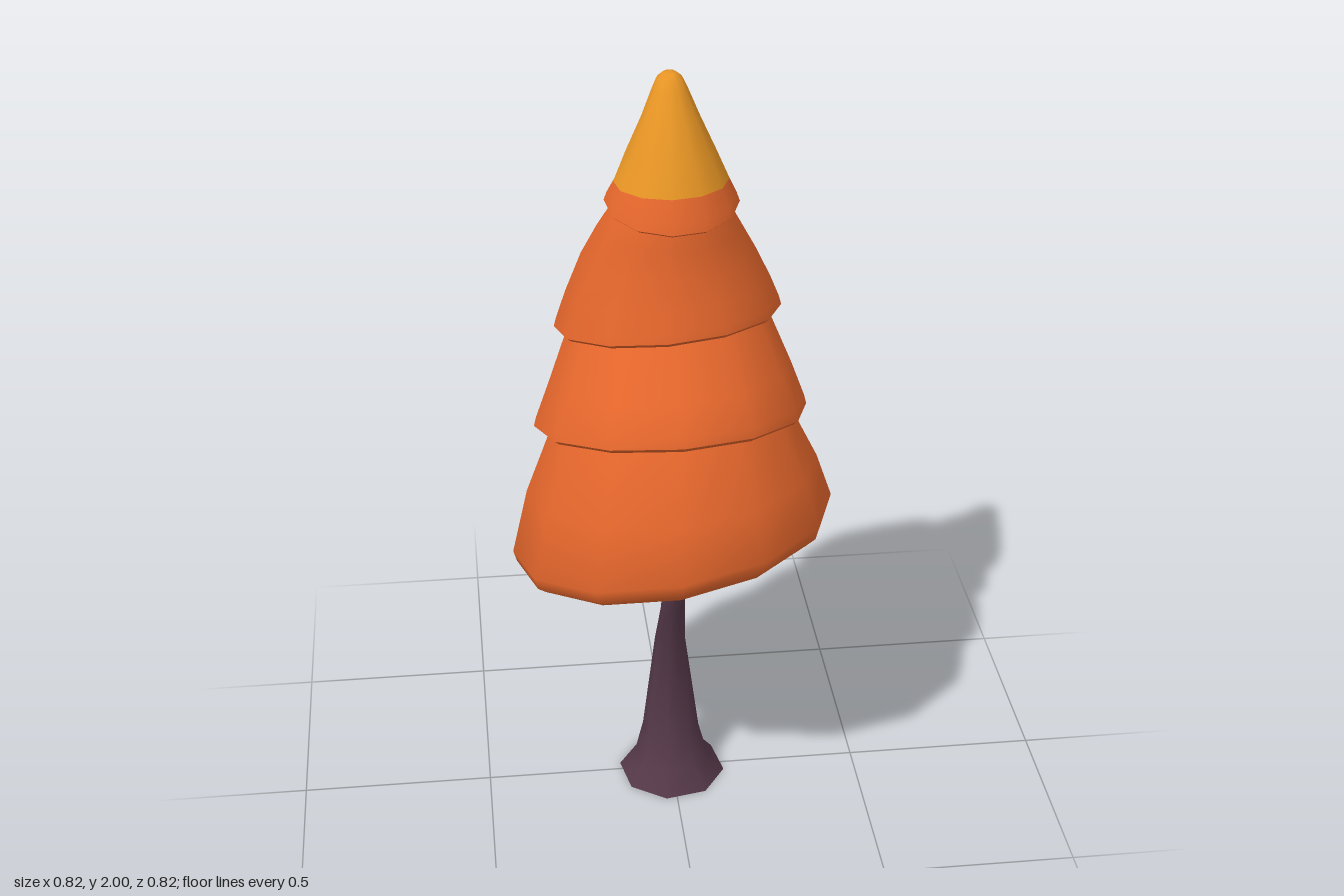
import * as THREE from 'three';
import { toCreasedNormals } from 'three/addons/utils/BufferGeometryUtils.js';

// Loft through rings [y, z, radius, slope along z, slope along x, x], bottom to top, capped on top.
// Faces above ring `split` go to a second material group.
function loft(rings, sides, { phase = 0, split = -1, capBottom = true } = {}) {
  const pos = [], index = [];
  for (const [y, z, r, az = 0, ax = 0, x = 0] of rings) {
    for (let j = 0; j < sides; j++) {
      const t = phase + (j / sides) * Math.PI * 2;
      const dx = r * Math.cos(t), dz = r * Math.sin(t);
      pos.push(x + dx, y + az * dz + ax * dx, z + dz);
    }
  }
  const n = rings.length, first = rings[0], last = rings[n - 1];
  const bottom = n * sides, top = bottom + 1;
  pos.push(first[5] || 0, first[0], first[1], last[5] || 0, last[0], last[1]);
  if (capBottom) for (let j = 0; j < sides; j++) index.push(bottom, j, (j + 1) % sides);
  let cut = 0;
  for (let i = 0; i < n - 1; i++) {
    if (i === split) cut = index.length;
    for (let j = 0; j < sides; j++) {
      const k = (j + 1) % sides, a = i * sides, b = a + sides;
      index.push(a + j, b + j, a + k, a + k, b + j, b + k);
    }
  }
  const c = (n - 1) * sides;
  for (let j = 0; j < sides; j++) index.push(top, c + ((j + 1) % sides), c + j);
  const geo = new THREE.BufferGeometry();
  geo.setAttribute('position', new THREE.Float32BufferAttribute(pos, 3));
  geo.setIndex(index);
  if (split >= 0) {
    geo.addGroup(0, cut, 0);
    geo.addGroup(cut, index.length - cut, 1);
  }
  return toCreasedNormals(geo, 0.95);
}

function material(name, color, side = THREE.FrontSide) {
  const m = new THREE.MeshStandardMaterial({ color, side });
  m.name = name;
  return m;
}

export function createModel() {
  const model = new THREE.Group();
  model.name = 'autumnTree';
  const orange = material('orange foliage', 0xe4662c);
  const gold = material('golden tip', 0xe69424);
  const bark = material('purple bark', 0x533747, THREE.DoubleSide);
  const add = (name, geo, mat, parent = model) => {
    const mesh = new THREE.Mesh(geo, mat);
    mesh.name = name;
    parent.add(mesh);
  };

  // Trunk: open flared foot, straight shaft, then a lean towards the front
  add('trunk', loft([
    [0, 0.003, 0.143],
    [0.05, -0.005, 0.099],
    [0.13, -0.022, 0.076],
    [0.4, -0.038, 0.041, 0.1],
    [0.55, 0.034, 0.032, 0.3],
    [0.64, 0.05, 0.027, 0.2],
    [0.72, 0.038, 0.026],
    [0.83, 0.028, 0.026],
  ], 8, { phase: 0.2, capBottom: false }), bark);

  // Branches: each a tapered path of [x, y, z, radius]
  const branches = new THREE.Group();
  branches.name = 'branches';
  model.add(branches);
  [
    [[0, 0.61, 0.05, 0.014], [-0.035, 0.67, 0.1, 0.014], [-0.07, 0.73, 0.15, 0.012], [-0.092, 0.8, 0.187, 0.007]],
    [[-0.04, 0.68, 0.11, 0.01], [-0.05, 0.74, 0.125, 0.009], [-0.055, 0.8, 0.15, 0.006]],
    [[0, 0.62, 0.045, 0.014], [0.04, 0.67, -0.005, 0.014], [0.085, 0.73, -0.06, 0.012], [0.112, 0.81, -0.092, 0.007]],
    [[0.03, 0.66, 0.005, 0.01], [0.055, 0.72, -0.03, 0.009], [0.06, 0.79, -0.055, 0.006]],
    [[0, 0.63, 0.045, 0.011], [-0.03, 0.69, 0.0, 0.01], [-0.06, 0.78, -0.03, 0.006]],
  ].forEach((path, i) => {
    const rings = path.map(([x, y, z, r]) => [y, z, r, 0, 0, x]);
    add('branch' + (i + 1), loft(rings, 6), bark, branches);
  });

  // Lower tier: hollowed underside, crisp rim, widest ring, then tapering up
  add('lowerFoliage', loft([
    [0.8, 0, 0.2, 0.18, 0.165],
    [0.765, 0, 0.34, 0.18, 0.165],
    [0.738, 0, 0.378, 0.18, 0.165],
    [0.758, 0, 0.402, 0.18, 0.165],
    [0.79, 0, 0.411, 0.185, 0.165],
    [0.94, 0, 0.37, 0.17, 0.1],
    [1.1, -0.015, 0.3, 0.26, 0.05],
    [1.2, -0.03, 0.24, 0.26, 0.04],
  ], 12, { phase: 0.05 }), orange);

  // Upper tiers: a tucked-in lip, the widest ring, then tapering up under the next tier
  add('middleFoliage', loft([
    [1.1, -0.025, 0.27, 0.28, 0.04],
    [1.086, -0.025, 0.333, 0.28, 0.04],
    [1.096, -0.025, 0.345, 0.28, 0.04],
    [1.12, -0.027, 0.339, 0.28, 0.04],
    [1.21, -0.04, 0.305, 0.24, 0.05],
    [1.345, -0.095, 0.247, 0.19, 0.06],
    [1.42, -0.1, 0.2, 0.19, 0.06],
  ], 12, { phase: 0.02 }), orange);

  add('upperFoliage', loft([
    [1.345, -0.1, 0.215, 0.23, 0.08],
    [1.33, -0.1, 0.272, 0.23, 0.08],
    [1.339, -0.1, 0.284, 0.23, 0.08],
    [1.362, -0.1, 0.278, 0.23, 0.08],
    [1.43, -0.093, 0.254, 0.18, 0.06],
    [1.53, -0.073, 0.214, 0.06, 0.02],
    [1.61, -0.05, 0.175, 0.02],
    [1.7, -0.012, 0.13, -0.1],
    [1.74, 0, 0.1, -0.1],
  ], 12, { phase: 0.1 }), orange);

  // Top tier: orange hem, golden cone leaning back to a rounded point
  add('topFoliage', loft([
    [1.705, 0.003, 0.12, -0.13],
    [1.688, 0.003, 0.154, -0.13],
    [1.695, 0.003, 0.162, -0.13],
    [1.714, 0.001, 0.155, -0.1],
    [1.744, -0.006, 0.138, 0.05, 0.02],
    [1.82, -0.01, 0.106],
    [1.9, -0.02, 0.069],
    [1.96, -0.037, 0.043],
    [1.985, -0.044, 0.031],
    [1.997, -0.046, 0.016],
    [2.0, -0.047, 0.003],
  ], 12, { phase: 0.1, split: 4 }), [orange, gold]);

  return model;
}
